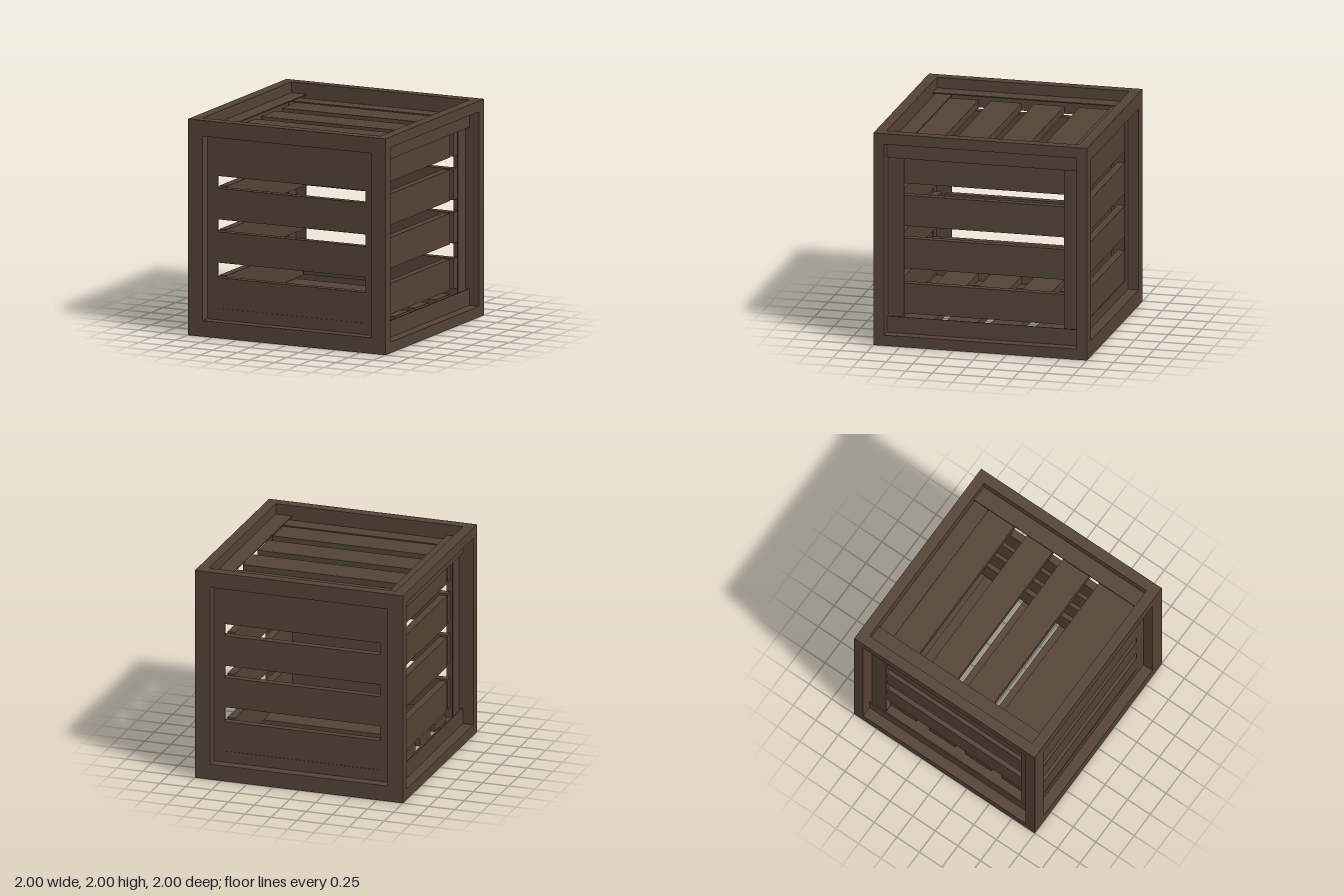
import * as THREE from 'three';

const wood = new THREE.MeshStandardMaterial({ color: 0x524334 });

// Box given by its extents on each axis
function board(parent, name, x, y, z) {
  const mesh = new THREE.Mesh(
    new THREE.BoxGeometry(x[1] - x[0], y[1] - y[0], z[1] - z[0]), wood);
  mesh.position.set((x[0] + x[1]) / 2, (y[0] + y[1]) / 2, (z[0] + z[1]) / 2);
  mesh.name = name;
  parent.add(mesh);
}

const HOLE = 0.747; // half width of the opening in each panel
const PLATE = 0.01; // thickness of the trim
const SLAT = 0.07; // thickness of the slats
const SLATS = [[-0.75, -0.465], [-0.325, -0.04], [0.075, 0.363], [0.477, 0.765]];

// One slatted panel facing +z, centred on the crate's middle
function slattedPanel(name, { post, rail, postOuter, railOuter, postLength, railLength, slat }) {
  const panel = new THREE.Group();
  panel.name = name;
  for (const s of [-1, 1]) {
    const span = (outer) => (s < 0 ? [-outer, -HOLE] : [HOLE, outer]);
    board(panel, 'trimPost', span(postOuter), [-postLength, postLength], [post - PLATE, post]);
    board(panel, 'trimRail', [-railLength, railLength], span(railOuter), [rail - PLATE, rail]);
  }
  for (const y of SLATS) board(panel, 'slat', [-0.78, 0.78], y, [slat - SLAT, slat]);
  return panel;
}

export function createModel() {
  const crate = new THREE.Group();
  crate.name = 'crate';
  const core = new THREE.Group();
  core.name = 'crateBody';
  core.position.y = 1;
  crate.add(core);

  // Outer frame: wide square frames at front and back
  for (const s of [-1, 1]) {
    const z = s < 0 ? [-1, -0.9] : [0.9, 1];
    const name = s < 0 ? 'backFrame' : 'frontFrame';
    for (const t of [-1, 1]) {
      const edge = t < 0 ? [-1, -0.853] : [0.853, 1];
      board(core, name + 'Rail', [-1, 1], edge, z);
      board(core, name + 'Post', edge, [-0.853, 0.853], z);
      // Square beams joining front to back
      board(core, 'cornerBeam', s < 0 ? [-1, -0.9] : [0.9, 1],
        t < 0 ? [-1, -0.9] : [0.9, 1], [-0.9, 0.9]);
    }
  }

  // Front and back panels: flush trim
  const flush = { post: 0.9, rail: 0.9, postOuter: 0.86, railOuter: 0.86,
    postLength: HOLE, railLength: 0.86, slat: 0.895 };
  // Side panels: long rails stand proud of the posts
  const side = { post: 0.86, rail: 0.9, postOuter: 0.9, railOuter: 0.9,
    postLength: 0.86, railLength: 0.9, slat: 0.765 };
  // Top and bottom panels: long strips stand proud of the end rails
  const lid = { post: 0.9, rail: 0.86, postOuter: 0.9, railOuter: 0.9,
    postLength: 0.9, railLength: 0.86, slat: 0.85 };

  const panels = [
    ['frontPanel', flush, [0, 0, 0]],
    ['backPanel', flush, [0, Math.PI, 0]],
    ['leftPanel', side, [0, Math.PI / 2, 0]],
    ['rightPanel', { ...side, slat: 0.79 }, [0, -Math.PI / 2, 0]],
    ['topPanel', lid, [-Math.PI / 2, 0, Math.PI]],
    ['bottomPanel', lid, [Math.PI / 2, 0, 0]],
  ];
  for (const [name, spec, turn] of panels) {
    const panel = slattedPanel(name, spec);
    panel.rotation.set(...turn);
    core.add(panel);
  }
  return crate;
}
